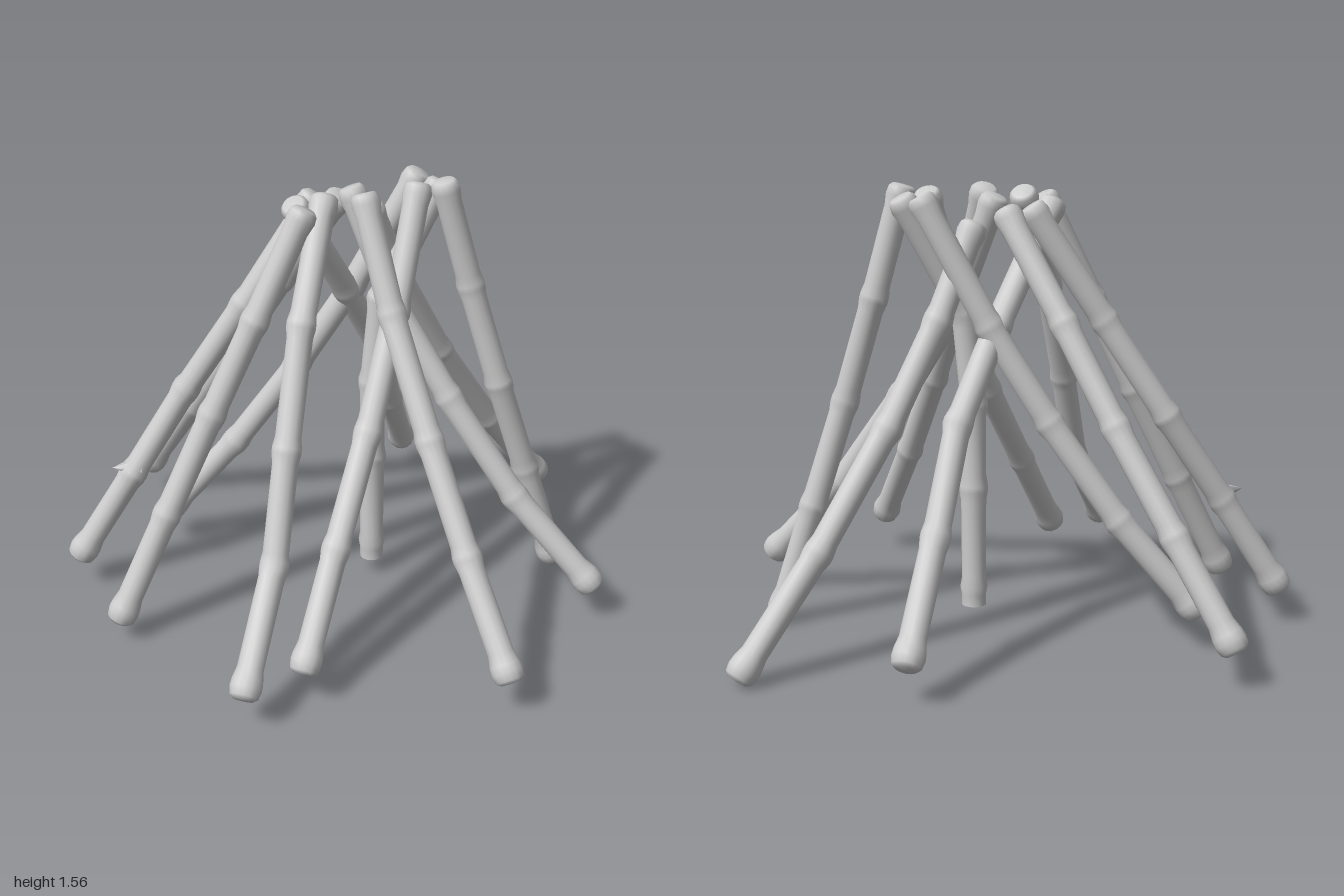
import * as THREE from 'three';

const SIDES = 14;
const material = new THREE.MeshStandardMaterial({ color: 0xcccccc, side: THREE.DoubleSide });

// Centre line of each pole from top to foot: [x, y, z] at the end, joints and end
const POLES = {
  backLeftRear: [[0, 1.46, -0.19], [-0.15, 1.12, -0.37], [-0.285, 0.8, -0.535], [-0.435, 0.47, -0.72], [-0.575, 0.165, -0.885]],
  backCrossing: [[0.29, 1.51, -0.2], [0.08, 1.1, -0.27], [-0.11, 0.78, -0.34], [-0.33, 0.45, -0.43], [-0.57, 0.16, -0.51]],
  sideRear: [[-0.09, 1.47, -0.19], [-0.33, 1.1, -0.22], [-0.54, 0.77, -0.28], [-0.75, 0.46, -0.275], [-0.945, 0.155, -0.3]],
  sideFront: [[-0.175, 1.49, 0], [-0.35, 1.14, 0.02], [-0.51, 0.81, 0.02], [-0.69, 0.46, 0.05], [-0.87, 0.115, 0.09]],
  frontOuter: [[-0.085, 1.51, -0.05], [-0.225, 1.17, 0.16], [-0.325, 0.8, 0.325], [-0.41, 0.45, 0.465], [-0.575, 0.16, 0.71]],
  frontCrossing: [[0.25, 1.515, -0.06], [0.13, 1.14, 0.08], [-0.02, 0.78, 0.25], [-0.19, 0.46, 0.44], [-0.35, 0.16, 0.63]],
  frontMiddle: [[0.045, 1.52, 0], [0.09, 1.17, 0.16], [0.15, 0.8, 0.4], [0.21, 0.47, 0.63], [0.27, 0.165, 0.875]],
  frontFarSide: [[0.04, 1.5, -0.13], [0.16, 1.12, -0.03], [0.32, 0.8, 0.11], [0.52, 0.455, 0.27], [0.745, 0.165, 0.44]],
  farSideFront: [[0.335, 1.53, -0.02], [0.43, 1.17, 0], [0.53, 0.8, 0.05], [0.65, 0.43, 0.045], [0.765, 0.06, 0.06]],
  farSideRear: [[0.12, 1.415, -0.175], [0.25, 1.12, -0.235], [0.435, 0.78, -0.315], [0.685, 0.4, -0.425], [0.945, 0.06, -0.54]],
  backFarSide: [[-0.17, 1.48, -0.1], [0.05, 1.1, -0.25], [0.21, 0.8, -0.38], [0.32, 0.47, -0.56], [0.45, 0.16, -0.8]],
  centre: [[0.34, 1.5, -0.11], [0.13, 1.12, -0.085], [0.1, 0.8, -0.085], [0.1, 0.5, -0.085], [0.1, 0.14, -0.085]],
};

// End profiles: distance past the end point and radius
const TOP = [[0.028, 0], [0.027, 0.036], [0.016, 0.047], [-0.01, 0.051], [-0.05, 0.045]];
const FOOT = [[0.042, 0], [0.04, 0.034], [0.028, 0.049], [0, 0.055], [-0.025, 0.053], [-0.065, 0.045]];
// Plain sawn foot, with a doubled rim for a sharp edge
const SAWN = [[0.068, 0], [0.068, 0.043], [0.068, 0.043], [0.03, 0.043], [0, 0.049], [-0.035, 0.043]];

// Skin a list of [centre, direction, radius] rings
function loft(rings) {
  const positions = [], index = [];
  rings.forEach(([centre, dir, radius], r) => {
    const u = new THREE.Vector3(1, 0, 0).addScaledVector(dir, -dir.x).normalize();
    const v = new THREE.Vector3().crossVectors(dir, u);
    for (let i = 0; i < SIDES; i++) {
      const a = (i / SIDES) * Math.PI * 2;
      const p = centre.clone()
        .addScaledVector(u, Math.cos(a) * Math.max(radius, 1e-4))
        .addScaledVector(v, Math.sin(a) * Math.max(radius, 1e-4));
      positions.push(p.x, p.y, p.z);
      if (r === 0) continue;
      const j = (i + 1) % SIDES, a0 = (r - 1) * SIDES, b0 = r * SIDES;
      index.push(a0 + i, a0 + j, b0 + i, a0 + j, b0 + j, b0 + i);
    }
  });
  const geometry = new THREE.BufferGeometry();
  geometry.setAttribute('position', new THREE.Float32BufferAttribute(positions, 3));
  geometry.setIndex(index);
  geometry.computeVertexNormals();
  return geometry;
}

function makePole(coords, footProfile) {
  const pts = coords.map((c) => new THREE.Vector3(...c));
  const last = pts.length - 1;
  const dirs = pts.slice(1).map((p, i) => p.clone().sub(pts[i]).normalize());
  const at = (p, d, s) => p.clone().addScaledVector(d, s);
  const rings = TOP.map(([s, r]) => [at(pts[0], dirs[0], -s), dirs[0], r]);
  // Swollen joints, each turning from one straight length to the next
  for (let i = 1; i < last; i++) {
    const before = dirs[i - 1], after = dirs[i];
    const mid = before.clone().add(after).normalize();
    rings.push([at(pts[i], before, -0.045), before, 0.045]);
    rings.push([at(pts[i], mid, -0.01), mid, 0.051]);
    rings.push([at(pts[i], mid, 0.01), mid, 0.051]);
    rings.push([at(pts[i], after, 0.045), after, 0.045]);
  }
  const end = dirs[last - 1];
  [...footProfile].reverse().forEach(([s, r]) => rings.push([at(pts[last], end, s), end, r]));
  return new THREE.Mesh(loft(rings), material);
}

export function createModel() {
  const model = new THREE.Group();
  model.name = 'leaningPoles';
  for (const [name, coords] of Object.entries(POLES)) {
    const pole = makePole(coords, name === 'centre' ? SAWN : FOOT);
    pole.name = name + 'Pole';
    model.add(pole);
  }

  // Small thorn on the rear side pole
  const thorn = new THREE.Mesh(new THREE.ConeGeometry(0.045, 0.1, 6), material);
  thorn.name = 'thorn';
  thorn.position.set(-0.775, 0.49, -0.27);
  thorn.rotation.z = Math.PI / 2 - 0.1;
  model.add(thorn);
  return model;
}
